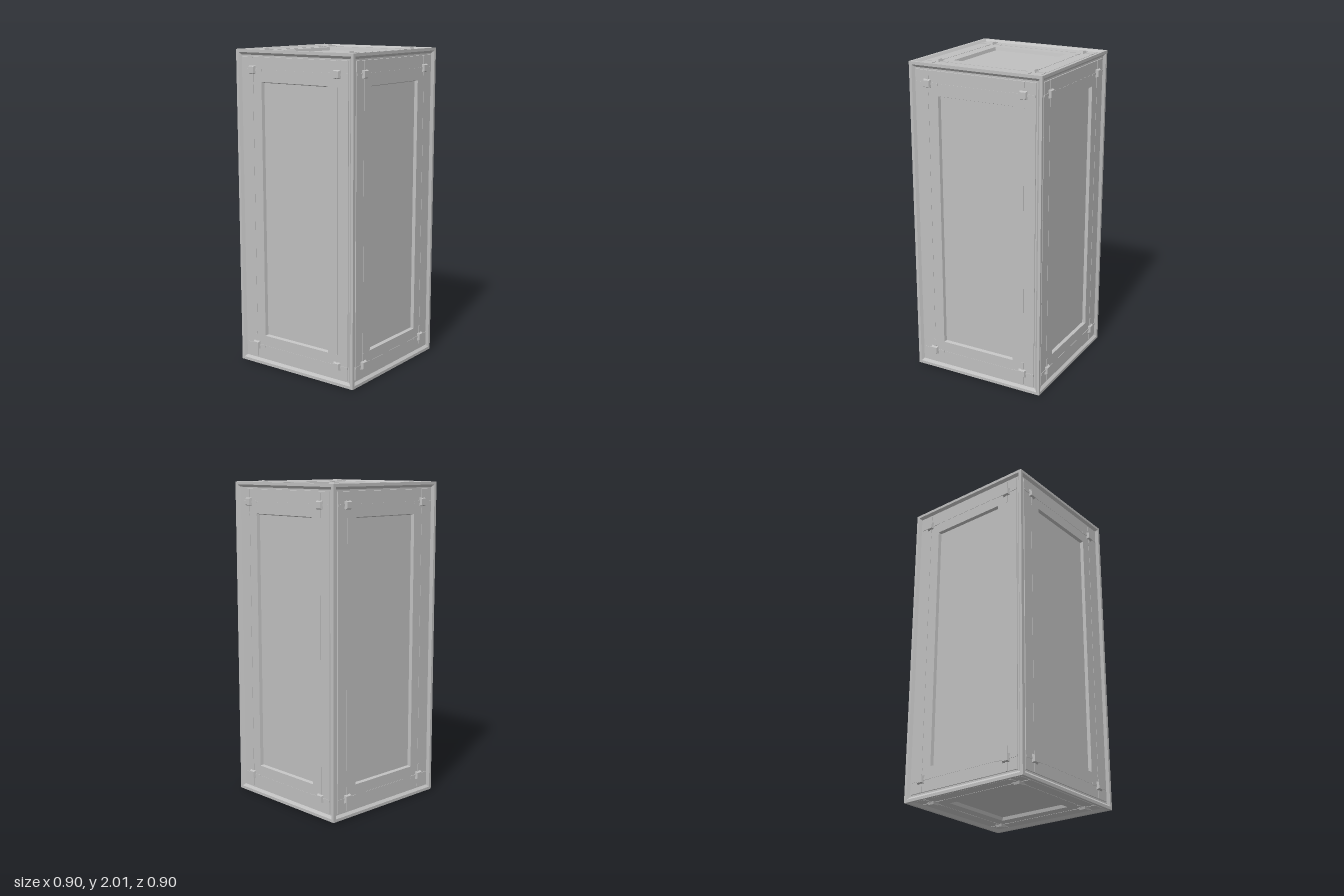
import * as THREE from 'three';

const W = 0.886, H = 2;
const PANEL = -0.01; // depth of the main panel surface below the outer rim

// Stepped face profile from the outer edge inward: [inset, depth]
const PROFILE = [
  [0, 0], [0.018, 0], [0.033, -0.015], [0.043, -0.015], [0.044, PANEL],
  [0.193, PANEL], [0.199, -0.03],
];

// Nested rectangles joined into a stepped, flat-shaded panel facing +z
function steppedPanel(w, h) {
  const pos = [];
  const rings = PROFILE.map(([i, d]) => {
    const x = w / 2 - i, y = h / 2 - i;
    return [[-x, -y, d], [x, -y, d], [x, y, d], [-x, y, d]];
  });
  const quad = (a, b, c, d) => pos.push(...a, ...b, ...c, ...a, ...c, ...d);
  for (let r = 0; r < rings.length - 1; r++) {
    for (let k = 0; k < 4; k++) {
      const n = (k + 1) % 4;
      quad(rings[r][k], rings[r][n], rings[r + 1][n], rings[r + 1][k]);
    }
  }
  quad(...rings[rings.length - 1]);
  const g = new THREE.BufferGeometry();
  g.setAttribute('position', new THREE.Float32BufferAttribute(pos, 3));
  g.computeVertexNormals();
  return g;
}

// Square stud with sloping sides, standing on z = 0
function studGeometry() {
  const g = new THREE.CylinderGeometry(0.019 * Math.SQRT2, 0.026 * Math.SQRT2, 0.018, 4, 1);
  g.rotateY(Math.PI / 4);
  g.rotateX(Math.PI / 2);
  g.translate(0, 0, 0.007);
  return g;
}

export function createModel() {
  const model = new THREE.Group();
  model.name = 'crate';
  const metal = new THREE.MeshStandardMaterial({ color: 0xbfbfbf });
  metal.name = 'plain grey';
  metal.flatShading = true;
  const stud = studGeometry();

  function add(parent, name, geometry, x = 0, y = 0, z = 0) {
    const mesh = new THREE.Mesh(geometry, metal);
    mesh.name = name;
    mesh.position.set(x, y, z);
    parent.add(mesh);
  }

  function buildFace(name, w, h) {
    const face = new THREE.Group();
    face.name = name;
    add(face, 'steppedPanel', steppedPanel(w, h));
    const bx = w / 2 - 0.122, by = h / 2 - 0.122;

    // Corner studs with short crossing strips
    const across = new THREE.BoxGeometry(0.15, 0.014, 0.006);
    const upright = new THREE.BoxGeometry(0.014, 0.15, 0.006);
    for (const sx of [-1, 1]) {
      for (const sy of [-1, 1]) {
        add(face, 'cornerStud', stud, sx * bx, sy * by, PANEL);
        add(face, 'crossStrip', across, sx * (w / 2 - 0.12), sy * by, PANEL);
        add(face, 'crossStrip', upright, sx * bx, sy * (h / 2 - 0.12), PANEL);
      }
    }

    // Fine ribs linking the studs
    const ribAcross = new THREE.BoxGeometry(2 * bx, 0.009, 0.003);
    const ribUpright = new THREE.BoxGeometry(0.009, 2 * by, 0.003);
    for (const s of [-1, 1]) {
      add(face, 'linkRib', ribAcross, 0, s * by, PANEL);
      add(face, 'linkRib', ribUpright, s * bx, 0, PANEL);
    }
    model.add(face);
    return face;
  }

  // Four tall sides
  ['frontFace', 'leftFace', 'backFace', 'rightFace'].forEach((name, i) => {
    const a = i * Math.PI / 2;
    const face = buildFace(name, W, H);
    face.rotation.y = a;
    face.position.set(Math.sin(a) * W / 2, H / 2, Math.cos(a) * W / 2);
  });

  // Square top and bottom
  const top = buildFace('topFace', W, W);
  top.rotation.x = -Math.PI / 2;
  top.position.y = H;
  const bottom = buildFace('bottomFace', W, W);
  bottom.rotation.x = Math.PI / 2;

  return model;
}
